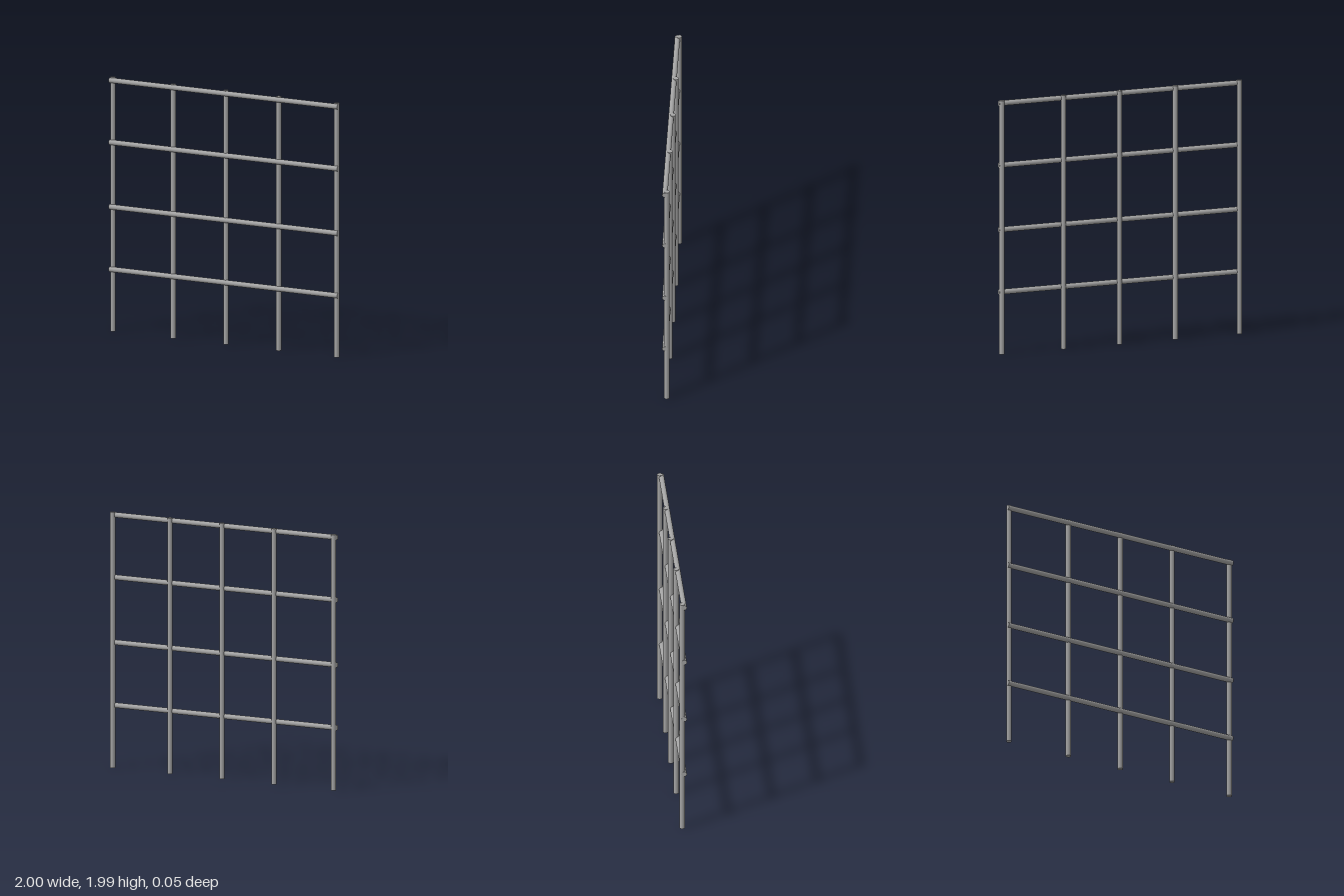
import * as THREE from 'three';

const RADIUS = 0.0205;
const OFFSET = 0.007; // posts sit behind, rails in front, partly overlapping
const HEIGHT = 1.99;
const WIDTH = 1.995;

export function createModel() {
  const group = new THREE.Group();
  group.name = 'trellis';
  const material = new THREE.MeshStandardMaterial({ color: 0xa4a4a4 });

  const addRod = (name, length, x, y, z) => {
    const rod = new THREE.Mesh(new THREE.CylinderGeometry(RADIUS, RADIUS, length, 20), material);
    rod.name = name;
    rod.position.set(x, y, z);
    group.add(rod);
    return rod;
  };

  // Upright posts
  [-0.977, -0.45, 0.01, 0.47, 0.977].forEach((x, i) => {
    addRod(`post${i + 1}`, HEIGHT, x, HEIGHT / 2, -OFFSET);
  });

  // Horizontal rails across the front of the posts
  [0.485, 0.974, 1.48, 1.966].forEach((y, i) => {
    addRod(`rail${i + 1}`, WIDTH, 0, y, OFFSET).rotation.z = Math.PI / 2;
  });

  return group;
}
